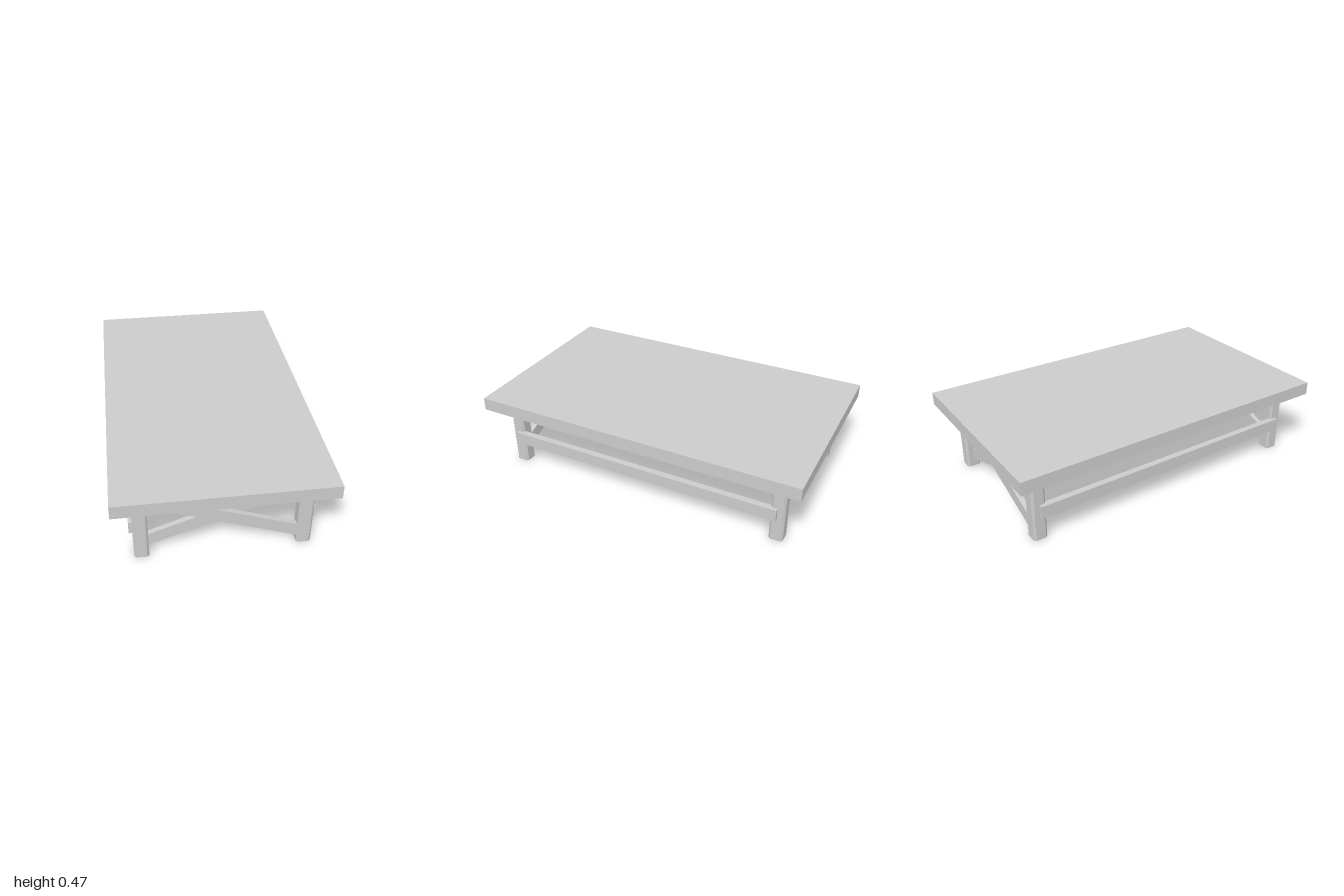
import * as THREE from 'three';

const material = new THREE.MeshStandardMaterial({ color: 0xcccccc, flatShading: true });

const TOP_UNDERSIDE = 0.395;
const LEG_X = 0.446, LEG_Z = 0.857, LEG_SIZE = 0.082;

function addMesh(parent, name, geometry, x = 0, y = 0, z = 0) {
  const mesh = new THREE.Mesh(geometry, material);
  mesh.name = name;
  mesh.position.set(x, y, z);
  parent.add(mesh);
  return mesh;
}

function extrude(points, depth) {
  const shape = new THREE.Shape(points.map(([x, y]) => new THREE.Vector2(x, y)));
  return new THREE.ExtrudeGeometry(shape, { depth, bevelEnabled: false });
}

// Square post with chamfered vertical corners
function legGeometry() {
  const h = LEG_SIZE / 2, k = h - 0.012;
  const outline = [[h, -k], [h, k], [k, h], [-k, h], [-h, k], [-h, -k], [-k, -h], [k, -h]];
  return extrude(outline, TOP_UNDERSIDE).rotateX(-Math.PI / 2);
}

// Diagonal plank, trimmed flush to the legs and the tabletop underside
function braceGeometry(direction, thickness) {
  const end = 0.41, middle = 0.233, half = 0.039, slope = 0.362;
  const trimX = (TOP_UNDERSIDE - middle - half) / slope;
  const points = [
    [-end, middle - half - slope * end],
    [end, middle - half + slope * end],
    [end, TOP_UNDERSIDE],
    [trimX, TOP_UNDERSIDE],
    [-end, middle + half - slope * end],
  ].map(([x, y]) => [x * direction, y]);
  return extrude(points, thickness);
}

export function createModel() {
  const table = new THREE.Group();
  table.name = 'coffeeTable';

  addMesh(table, 'tabletop', new THREE.BoxGeometry(1.184, 0.078, 2), 0, TOP_UNDERSIDE + 0.039, 0);

  // Each end frame: two legs and a pair of crossed braces, the back one turned half round
  for (const end of ['front', 'back']) {
    const frame = new THREE.Group();
    frame.name = end + 'Frame';
    addMesh(frame, end + 'Leg1', legGeometry(), LEG_X, 0, LEG_Z);
    addMesh(frame, end + 'Leg2', legGeometry(), -LEG_X, 0, LEG_Z);
    const thickness = 0.03;
    addMesh(frame, end + 'OuterBrace', braceGeometry(-1, thickness), 0, 0, LEG_Z);
    addMesh(frame, end + 'InnerBrace', braceGeometry(1, thickness), 0, 0, LEG_Z - thickness);
    if (end === 'back') frame.rotation.y = Math.PI;
    table.add(frame);
  }

  // Long side rails let into the outer faces of the legs
  for (const [name, side] of [['leftRail', 1], ['rightRail', -1]]) {
    addMesh(table, name, new THREE.BoxGeometry(0.038, 0.075, 1.71), side * 0.488, 0.182, 0);
  }

  return table;
}
